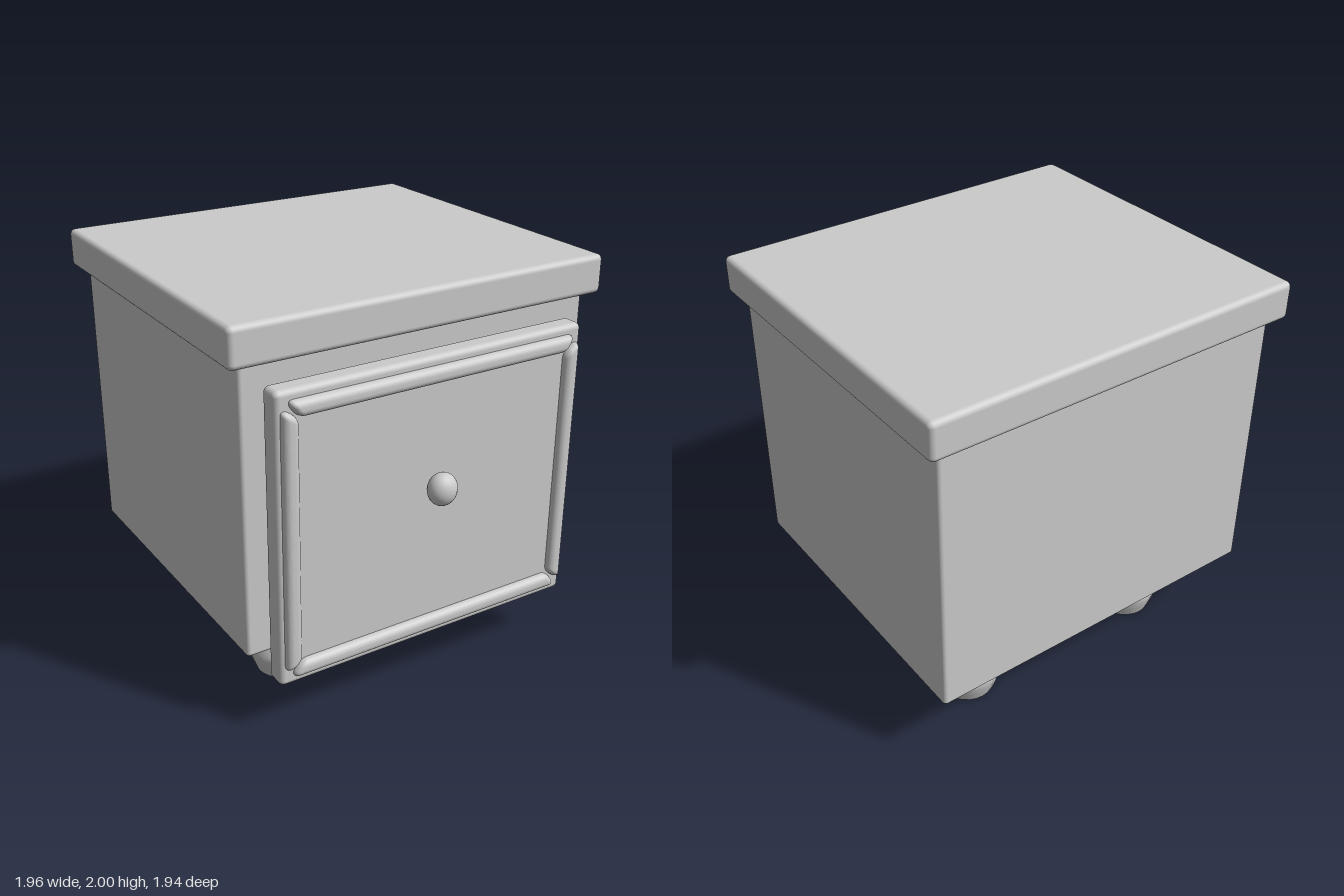
import * as THREE from 'three';
import { RoundedBoxGeometry } from 'three/addons/geometries/RoundedBoxGeometry.js';

const material = new THREE.MeshStandardMaterial({ color: 0xcccccc });
const openMaterial = new THREE.MeshStandardMaterial({ color: 0xcccccc, side: THREE.DoubleSide });

function part(name, geometry, x, y, z, mat = material) {
  const mesh = new THREE.Mesh(geometry, mat);
  mesh.name = name;
  mesh.position.set(x, y, z);
  return mesh;
}

// Rounded box given by its extents on each axis
function block(name, [x0, x1], [y0, y1], [z0, z1], radius) {
  const geometry = new RoundedBoxGeometry(x1 - x0, y1 - y0, z1 - z0, 4, radius);
  return part(name, geometry, (x0 + x1) / 2, (y0 + y1) / 2, (z0 + z1) / 2);
}

// Rounded moulding strip whose ends slant inwards towards its inner (-y) edge
function mitredStrip(length, width, depth) {
  const geometry = new RoundedBoxGeometry(length, width, depth, 5, 0.034);
  const p = geometry.attributes.position;
  for (let i = 0; i < p.count; i++) {
    const x = p.getX(i);
    if (Math.abs(x) < length / 4) continue;
    p.setX(i, x - Math.sign(x) * (width / 2 - p.getY(i)) * 0.62);
  }
  geometry.computeVertexNormals();
  return geometry;
}

export function createModel() {
  const model = new THREE.Group();
  model.name = 'nightstand';

  // Cabinet and overhanging top
  model.add(block('cabinetBody', [-0.917, 0.917], [0.4, 1.83], [-0.91, 0.725], 0.02));
  model.add(block('tabletop', [-0.982, 0.982], [1.81, 2], [-0.968, 0.783], 0.028));

  // Drawer front with its moulding frame
  const drawer = new THREE.Group();
  drawer.name = 'drawer';
  drawer.add(block('drawerPanel', [-0.817, 0.817], [0.275, 1.713], [0.737, 0.848], 0.028));
  const midY = 0.995, w = 0.08, z = 0.845;
  const horizontal = mitredStrip(1.535, w, w);
  const vertical = mitredStrip(1.29, w, w);
  for (const s of [1, -1]) {
    const rail = part(s > 0 ? 'topMoulding' : 'bottomMoulding', horizontal, 0, midY + s * 0.635, z);
    rail.rotation.z = s > 0 ? 0 : Math.PI;
    const stile = part(s > 0 ? 'leftMoulding' : 'rightMoulding', vertical, s * 0.753, midY, z);
    stile.rotation.z = -s * Math.PI / 2;
    drawer.add(rail, stile);
  }

  // Slightly flattened knob
  const knob = part('knob', new THREE.SphereGeometry(1, 20, 14), 0, 1.09, 0.907);
  knob.scale.set(0.074, 0.08, 0.064);
  drawer.add(knob);
  model.add(drawer);

  // Turned feet, open at the ends
  const profile = [
    [0.135, 0], [0.154, 0.05], [0.17, 0.1], [0.171, 0.13], [0.155, 0.18],
    [0.122, 0.24], [0.094, 0.29], [0.08, 0.325], [0.085, 0.35], [0.11, 0.375], [0.145, 0.402],
  ].map(([r, y]) => new THREE.Vector2(r, y));
  const footGeometry = new THREE.LatheGeometry(profile, 24);
  for (const [side, x] of [['Left', 0.525], ['Right', -0.525]]) {
    model.add(part('front' + side + 'Foot', footGeometry, x, 0, 0.333, openMaterial));
    model.add(part('back' + side + 'Foot', footGeometry, x, 0, -0.518, openMaterial));
  }
  return model;
}
